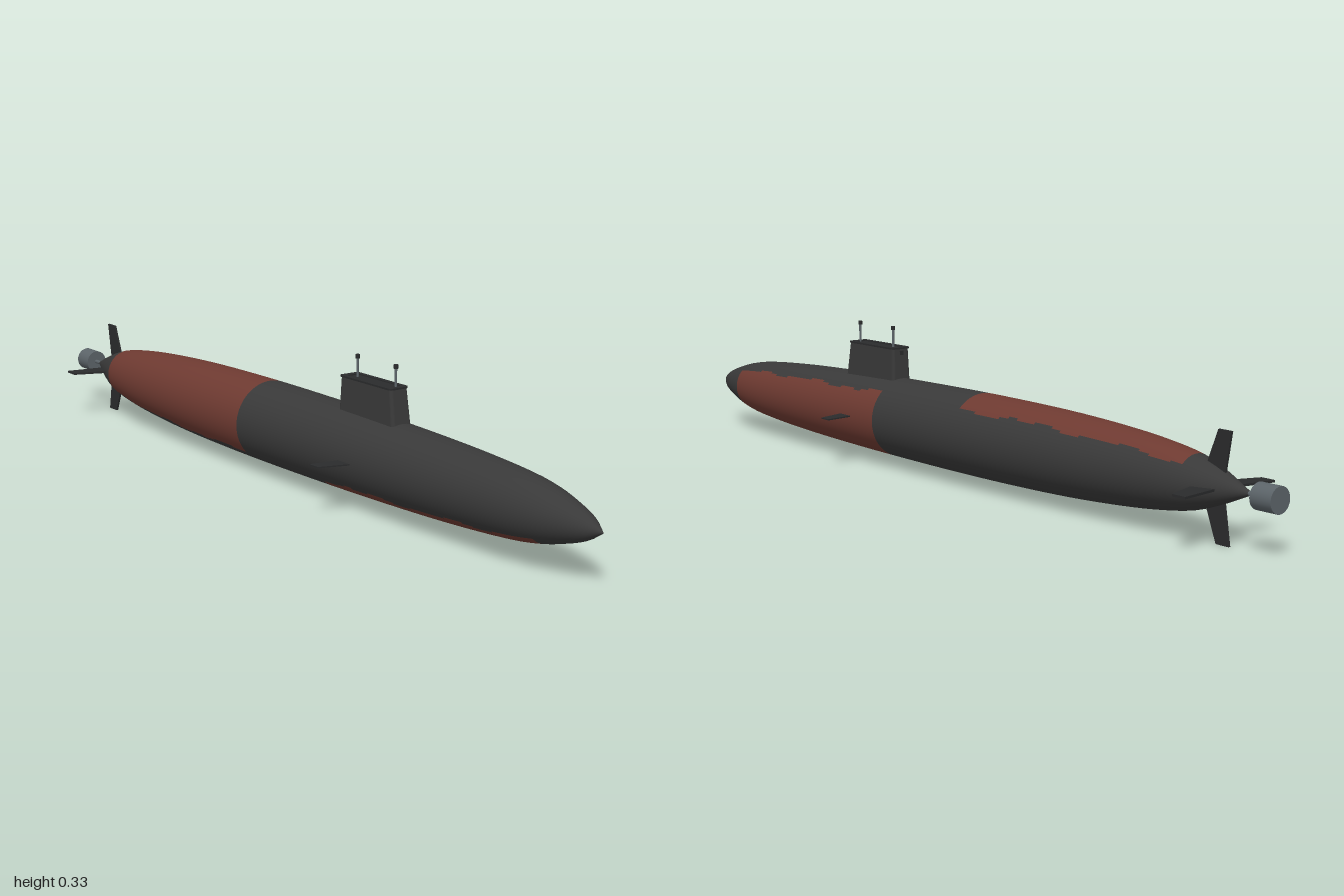
import * as THREE from 'three';

const AXIS_Y = 0.116;

const mat = (name, color) => {
  const m = new THREE.MeshStandardMaterial({ color });
  m.name = name;
  return m;
};

// Rounded rectangle plan centred on (cx, 0)
function plan(Type, cx, hx, hz, r) {
  const s = new Type();
  s.absarc(cx + hx - r, hz - r, r, 0, Math.PI / 2);
  s.absarc(cx - hx + r, hz - r, r, Math.PI / 2, Math.PI);
  s.absarc(cx - hx + r, -hz + r, r, Math.PI, Math.PI * 1.5);
  s.absarc(cx + hx - r, -hz + r, r, Math.PI * 1.5, Math.PI * 2);
  s.closePath();
  return s;
}

// Plan shape extruded upwards from y = 0
function upright(shape, depth) {
  return new THREE.ExtrudeGeometry(shape, { depth, bevelEnabled: false, curveSegments: 5 }).rotateX(-Math.PI / 2);
}

// Swept fin standing along +y, thin in z
function finGeometry(points, thickness) {
  const s = new THREE.Shape(points.map(([x, y]) => new THREE.Vector2(x, y)));
  return new THREE.ExtrudeGeometry(s, { depth: thickness, bevelEnabled: false }).translate(0, 0, -thickness / 2);
}

// Body of revolution, with its cells sorted into plain and red groups
function hullGeometry() {
  const curve = [
    [-0.928, 0.002], [-0.85, 0.035], [-0.78, 0.058], [-0.7, 0.071], [-0.6, 0.081], [-0.45, 0.09],
    [-0.3, 0.0945], [-0.1, 0.0965], [0.1, 0.0955], [0.3, 0.0925], [0.5, 0.087], [0.65, 0.08],
    [0.78, 0.07], [0.85, 0.059], [0.91, 0.043], [0.96, 0.025], [1, 0],
  ];
  const radius = (x) => {
    // Smooth interpolation between profile points
    let i = 0;
    while (i < curve.length - 2 && x > curve[i + 1][0]) i++;
    const slope = (k) => {
      const a = curve[Math.max(k - 1, 0)], b = curve[Math.min(k + 1, curve.length - 1)];
      return (b[1] - a[1]) / (b[0] - a[0]);
    };
    const [x0, r0] = curve[i], [x1, r1] = curve[i + 1];
    const h = x1 - x0, t = (x - x0) / h;
    const t2 = t * t, t3 = t2 * t;
    return Math.max(0, (2 * t3 - 3 * t2 + 1) * r0 + (t3 - 2 * t2 + t) * h * slope(i)
      + (3 * t2 - 2 * t3) * r1 + (t3 - t2) * h * slope(i + 1));
  };
  // Rings fall exactly on the colour boundaries
  const stops = [[-0.928, 6], [-0.78, 24], [-0.11, 8], [0.19, 24], [0.85, 10], [1, 0]];
  const pts = [];
  stops.forEach(([x, n], k) => {
    for (let j = 0; j < n; j++) {
      const px = x + (stops[k + 1][0] - x) * j / n;
      pts.push(new THREE.Vector2(radius(px), px));
    }
  });
  pts.push(new THREE.Vector2(0, 1));
  const g = new THREE.LatheGeometry(pts, 96).rotateZ(-Math.PI / 2);

  // Aft red covers the upper left half, forward red the opposite half
  const isRed = (x, y, z) => {
    const wobble = 0.05 * Math.sin(x * 23) + 0.03 * Math.sin(x * 51);
    const side = Math.sin(Math.atan2(z, y) + Math.PI / 4 + wobble);
    return (x > -0.78 && x < -0.11 && side > 0) || (x > 0.19 && x < 0.85 && side < 0);
  };
  const p = g.attributes.position, idx = g.index.array, plain = [], red = [];
  for (let i = 0; i < idx.length; i += 6) {
    const cell = Array.from(idx.slice(i, i + 6));
    const mean = (f) => cell.reduce((s, v) => s + f(v), 0) / 6;
    const hit = isRed(mean((v) => p.getX(v)), mean((v) => p.getY(v)), mean((v) => p.getZ(v)));
    (hit ? red : plain).push(...cell);
  }
  g.setIndex([...plain, ...red]);
  g.addGroup(0, plain.length, 0);
  g.addGroup(plain.length, red.length, 1);
  return g;
}

export function createModel() {
  const model = new THREE.Group();
  model.name = 'submarine';
  const grey = mat('hull grey', 0x393939);
  const red = mat('rust red', 0x6e3a31);
  const dark = mat('dark fittings', 0x2a2b2c);
  const steel = mat('steel', 0x5c6469);

  const add = (name, geometry, material, x = 0, y = 0, z = 0, parent = model) => {
    const m = new THREE.Mesh(geometry, material);
    m.name = name;
    m.position.set(x, y, z);
    parent.add(m);
    return m;
  };

  add('hull', hullGeometry(), [grey, red], 0, AXIS_Y);

  // Sail, narrowing towards the top
  const H = 0.1;
  const sailGeo = upright(plan(THREE.Shape, 0, 0.099, 0.027, 0.008), H);
  const sp = sailGeo.attributes.position;
  for (let i = 0; i < sp.count; i++) {
    const t = sp.getY(i) / H;
    sp.setX(i, sp.getX(i) * (1 - 0.1 * t) - 0.005 * t);
    sp.setZ(i, sp.getZ(i) * (1 - 0.13 * t));
  }
  sailGeo.computeVertexNormals();
  add('sail', sailGeo, grey, 0.293, 0.182);

  // Raised lip round the sail top, with a sunken deck inside
  const lip = plan(THREE.Shape, 0, 0.091, 0.026, 0.008);
  lip.holes.push(plan(THREE.Path, 0, 0.076, 0.015, 0.003));
  add('sailLip', upright(lip, 0.004), dark, 0.288, 0.281);
  add('sailDeck', new THREE.BoxGeometry(0.15, 0.001, 0.03), dark, 0.288, 0.2822);
  add('sailLamp', new THREE.BoxGeometry(0.008, 0.01, 0.008), dark, 0.199, 0.272);

  // Masts
  for (const x of [0.23, 0.365]) {
    add('mast', new THREE.CylinderGeometry(0.0028, 0.0028, 0.05, 10), steel, x, 0.303);
    add('mastHead', new THREE.CylinderGeometry(0.005, 0.005, 0.009, 10), dark, x, 0.329);
  }

  // Bow planes, one each side
  const bow = finGeometry([[0.33, 0.07], [0.285, 0.07], [0.273, 0.162], [0.303, 0.162]], 0.003);
  for (const s of [1, -1]) {
    add(s > 0 ? 'leftBowPlane' : 'rightBowPlane', bow, dark, 0, AXIS_Y).rotation.x = s * Math.PI / 2;
  }

  // Cross of tail fins
  const names = ['upperRudder', 'leftTailPlane', 'lowerRudder', 'rightTailPlane'];
  names.forEach((name, i) => {
    const tip = i % 2 ? 0.128 : 0.116;
    const fin = finGeometry([[-0.8, 0.02], [-0.857, 0.02], [-0.873, tip], [-0.838, tip]], 0.005);
    add(name, fin, dark, 0, AXIS_Y).rotation.x = i * Math.PI / 2;
  });

  // Shaft and propulsor drum
  const shaft = new THREE.CylinderGeometry(0.005, 0.005, 0.07, 12).rotateZ(Math.PI / 2);
  add('propellerShaft', shaft, steel, -0.925, AXIS_Y);
  const drum = new THREE.CylinderGeometry(0.028, 0.028, 0.054, 24).rotateZ(Math.PI / 2);
  add('propulsorDrum', drum, steel, -0.973, AXIS_Y);

  return model;
}
